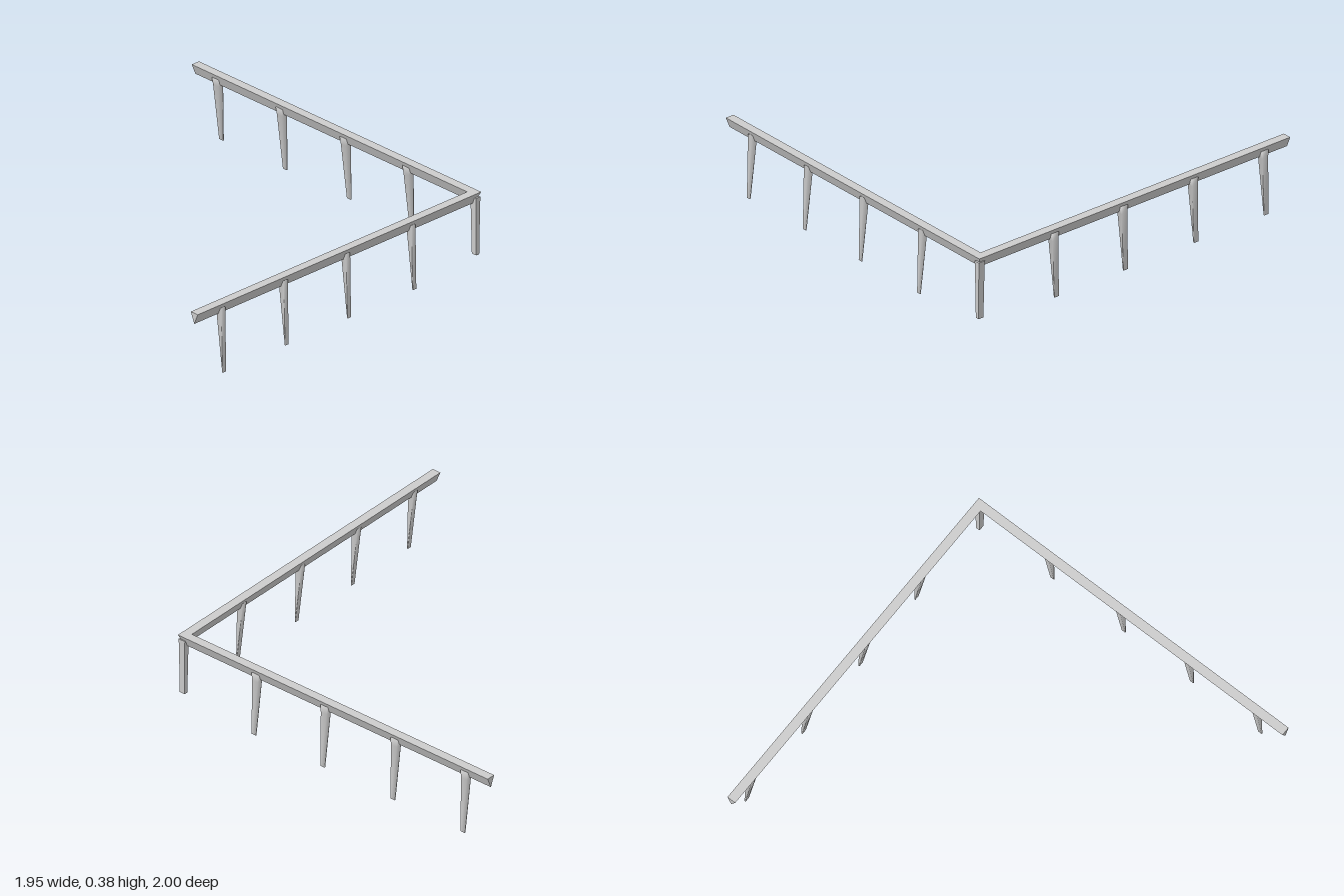
import * as THREE from 'three';
import { mergeVertices } from 'three/addons/utils/BufferGeometryUtils.js';

const material = new THREE.MeshStandardMaterial({ color: 0xcccccc });
const flatMaterial = new THREE.MeshStandardMaterial({ color: 0xcccccc, flatShading: true });

const CX = 0.942, CZ = 0.971; // centre lines of the side and front rails
const HALF = 0.0245, TOP = 0.375, APEX = 0.316;

// V-shaped rail along z, its far end mitred by the sideways offset
function railGeometry(start, end, miter) {
  const section = new THREE.Shape([
    new THREE.Vector2(-HALF, TOP), new THREE.Vector2(0, APEX), new THREE.Vector2(HALF, TOP),
  ]);
  const g = new THREE.ExtrudeGeometry(section, { depth: end - start, bevelEnabled: false });
  g.translate(0, 0, start);
  const p = g.attributes.position;
  for (let i = 0; i < p.count; i++) {
    if (p.getZ(i) > end - 0.001) p.setZ(i, end + miter * p.getX(i));
  }
  g.computeVertexNormals();
  return g;
}

// Tapered post; each level is [y, width, inner, outer], listed from the foot up
function postGeometry(levels, smooth) {
  let g = new THREE.BoxGeometry(1, 1, 1, 1, levels.length - 1, 1);
  const p = g.attributes.position;
  for (let i = 0; i < p.count; i++) {
    const [y, width, inner, outer] = levels[Math.round((p.getY(i) + 0.5) * (levels.length - 1))];
    p.setXYZ(i, p.getX(i) * width, y, p.getZ(i) > 0 ? outer : inner);
  }
  if (smooth) {
    g.deleteAttribute('normal');
    g.deleteAttribute('uv');
    g = mergeVertices(g);
  }
  g.computeVertexNormals();
  return g;
}

export function createModel() {
  const model = new THREE.Group();
  const add = (name, geometry, mat, x = 0, z = 0, turn = 0) => {
    const mesh = new THREE.Mesh(geometry, mat);
    mesh.name = name;
    mesh.position.set(x, 0, z);
    mesh.rotation.y = turn;
    model.add(mesh);
  };

  // Two rails meeting at the corner
  add('sideRail', railGeometry(-1, CZ, 1), flatMaterial, CX, 0);
  add('frontRail', railGeometry(-0.974, CX, -1), flatMaterial, 0, CZ, Math.PI / 2);

  // Wedge posts, narrowing to a thin foot near the outer side
  const frontPost = postGeometry([
    [0, 0.022, 0.024, 0.029], [0.35, 0.028, -0.017, 0.02],
  ], true);
  const sidePost = postGeometry([
    [0, 0.027, 0.024, 0.03], [0.31, 0.036, -0.013, 0.021], [0.35, 0.044, -0.018, 0.02],
  ], true);
  for (const x of [-0.795, -0.367, 0.06, 0.507]) add('frontPost', frontPost, material, x, CZ);
  for (const z of [0.503, 0.06, -0.392, -0.843]) add('sidePost', sidePost, material, CX, z, Math.PI / 2);

  // Square tapered post under the corner
  const cornerPost = postGeometry([
    [0.035, 0.021, -0.01, 0.021], [0.31, 0.029, -0.014, 0.023], [0.35, 0.032, -0.016, 0.024],
  ], false);
  add('cornerPost', cornerPost, flatMaterial, 0.946, CZ);
  return model;
}
